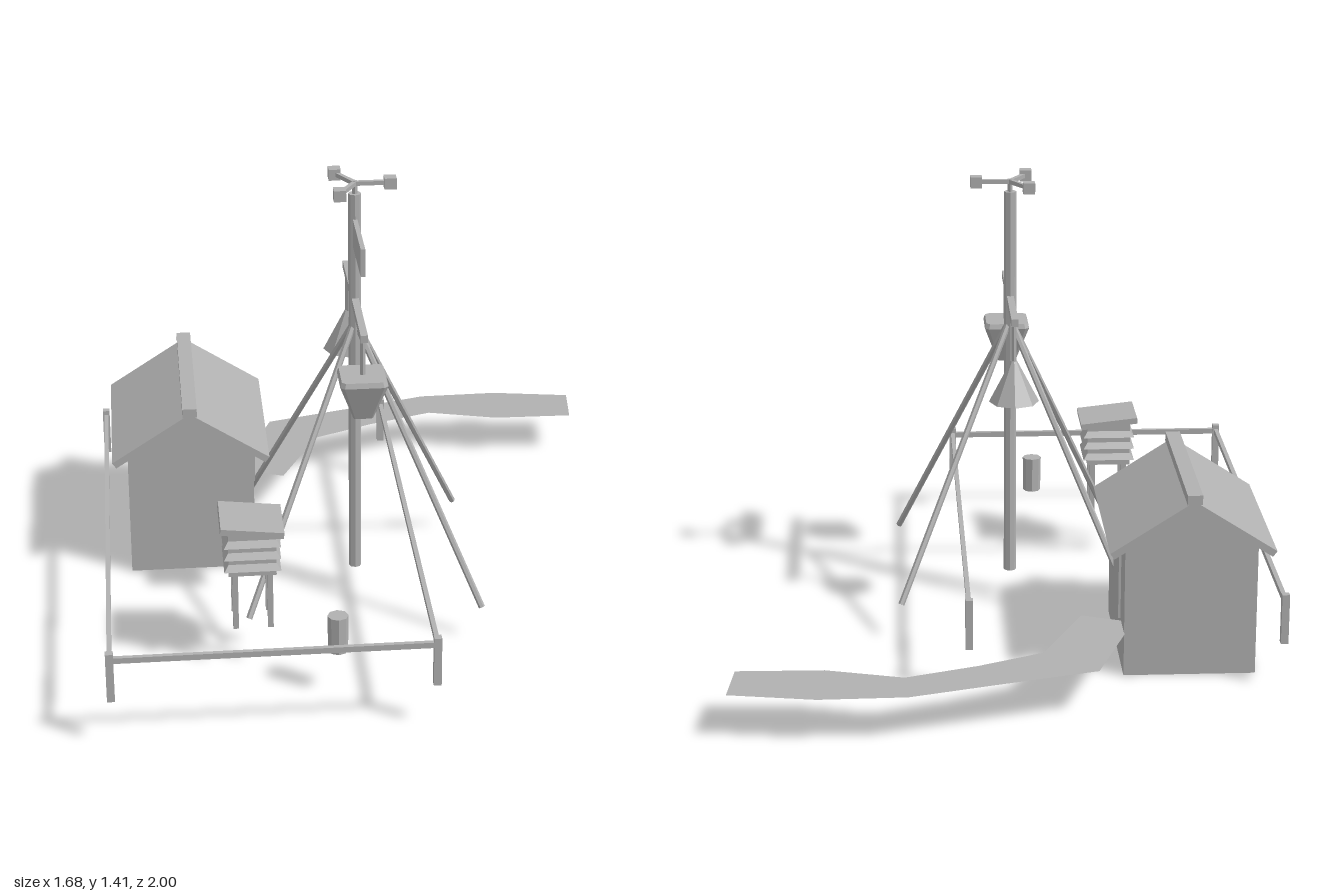
import * as THREE from 'three';

export function createModel() {
  const model = new THREE.Group();
  const grey = new THREE.MeshStandardMaterial({ color: 0xb0b0b0, flatShading: true, side: THREE.DoubleSide });
  grey.name = 'plain grey';

  function add(name, geometry, x = 0, y = 0, z = 0, parent = model) {
    const mesh = new THREE.Mesh(geometry, grey);
    mesh.name = name;
    mesh.position.set(x, y, z);
    parent.add(mesh);
    return mesh;
  }
  function group(name, x = 0, y = 0, z = 0) {
    const g = new THREE.Group();
    g.name = name;
    g.position.set(x, y, z);
    model.add(g);
    return g;
  }
  const box = (w, h, d) => new THREE.BoxGeometry(w, h, d);
  const poly = (points) => new THREE.Shape(points.map(([x, y]) => new THREE.Vector2(x, y)));
  const prism = (points, depth) => new THREE.ExtrudeGeometry(poly(points), { depth, bevelEnabled: false });

  // Square frustum with flat sides facing the axes
  const frustum = (top, bottom, h) =>
    new THREE.CylinderGeometry(top * Math.SQRT2, bottom * Math.SQRT2, h, 4).rotateY(Math.PI / 4);

  // Round bar between two points
  function bar(name, a, b, radius, parent) {
    const from = new THREE.Vector3(...a), dir = new THREE.Vector3(...b).sub(from);
    const mesh = add(name, new THREE.CylinderGeometry(radius, radius, dir.length(), 6), 0, 0, 0, parent);
    mesh.position.copy(from).addScaledVector(dir, 0.5);
    mesh.quaternion.setFromUnitVectors(new THREE.Vector3(0, 1, 0), dir.normalize());
  }

  // Hut: gabled body, folded roof, ridge cap, window and door on its left wall
  const hut = group('hut', -0.557, 0, 0);
  add('hutBody', prism([[-0.203, 0], [0.203, 0], [0.203, 0.424], [0, 0.555], [-0.203, 0.424]], 0.518), 0, 0, -0.555, hut);
  add('hutRoof', prism([[0, 0.58], [-0.253, 0.417], [-0.24, 0.399], [0, 0.553], [0.24, 0.399], [0.253, 0.417]], 0.605), 0, 0, -0.601, hut);
  add('ridgeCap', box(0.046, 0.03, 0.613), 0, 0.585, -0.298, hut);
  add('window', box(0.009, 0.098, 0.11), 0.206, 0.328, -0.155, hut);
  add('door', box(0.009, 0.217, 0.128), 0.206, 0.249, -0.372, hut);

  // Mast with four stays, a cross arm and a wind vane
  const mast = group('mast', -0.04, 0, 0.141);
  add('mastPole', new THREE.CylinderGeometry(0.02, 0.02, 1.28, 8), 0, 0.725, 0, mast);
  for (const sx of [-1, 1]) for (const sz of [-1, 1]) {
    bar('stay', [0, 0.945, 0], [sx * 0.363, 0.112, sz * 0.363], 0.01, mast);
  }
  add('crossArm', box(0.022, 0.024, 0.6), 0, 1.014, 0.005, mast);
  add('vane', box(0.014, 0.088, 0.245), 0, 1.242, 0.14, mast);

  // Three-armed wind spinner
  add('spindle', new THREE.CylinderGeometry(0.009, 0.009, 0.05, 6), 0, 1.38, 0, mast);
  for (let i = 0; i < 3; i++) {
    const a = (i * Math.PI * 2) / 3, x = Math.cos(a) * 0.108, z = Math.sin(a) * 0.108;
    const arm = add('spinnerArm', box(0.108, 0.013, 0.013), x / 2, 1.397, z / 2, mast);
    arm.rotation.y = -a;
    add('spinnerCup', box(0.037, 0.035, 0.037), x, 1.397, z, mast);
  }

  // Hanging bucket with chamfered corners
  bar('bucketRod', [0, 1.005, 0.25], [0, 0.86, 0.25], 0.009, mast);
  const bucketLevels = [[0.03, 0.74], [0.073, 0.86], [0.068, 0.876]];
  const positions = [], index = [];
  for (const [r, y] of bucketLevels) {
    const c = r * 0.82;
    for (const [x, z] of [[r, c], [c, r], [-c, r], [-r, c], [-r, -c], [-c, -r], [c, -r], [r, -c]]) positions.push(x, y, z);
  }
  for (let k = 0; k < 2; k++) for (let i = 0; i < 8; i++) {
    const a = k * 8 + i, b = k * 8 + (i + 1) % 8;
    index.push(a, a + 8, b, b, a + 8, b + 8);
  }
  for (let i = 1; i < 7; i++) index.push(0, i, i + 1, 16, 16 + i + 1, 16 + i);
  const bucket = new THREE.BufferGeometry();
  bucket.setAttribute('position', new THREE.Float32BufferAttribute(positions, 3));
  bucket.setIndex(index);
  bucket.computeVertexNormals();
  add('bucket', bucket, 0, 0, 0.25, mast);

  // Hanging cone
  bar('coneRod', [0, 1.005, -0.243], [0, 0.86, -0.243], 0.009, mast);
  add('cone', new THREE.CylinderGeometry(0.01, 0.079, 0.132, 8), 0, 0.811, -0.243, mast);

  // Louvred instrument box on four legs
  const screen = group('instrumentBox', -0.395, 0, 0.55);
  add('boxCore', box(0.145, 0.145, 0.145), 0, 0.4, 0, screen);
  for (const y of [0.36, 0.4, 0.44]) add('louvre', frustum(0.07, 0.086, 0.024), 0, y, 0, screen);
  const lid = add('boxLid', box(0.192, 0.02, 0.188), 0, 0.48, 0, screen);
  lid.rotation.z = -0.11;
  for (const sx of [-1, 1]) for (const sz of [-1, 1]) {
    add('boxLeg', box(0.017, 0.19, 0.017), sx * 0.053, 0.235, sz * 0.053, screen);
  }

  // Rain gauge
  add('rainGauge', new THREE.CylinderGeometry(0.032, 0.03, 0.12, 8), -0.15, 0.2, 0.767);

  // Fence: four corner posts, rails on three sides
  const fence = group('fence');
  const left = 0.123, right = -0.831, front = 0.986, back = -0.652;
  for (const x of [left, right]) {
    for (const z of [front, back]) add('fencePost', box(0.023, 0.158, 0.023), x, 0.22, z, fence);
    add('sideRail', box(0.014, 0.018, front - back), x, 0.275, (front + back) / 2, fence);
  }
  add('frontRail', box(left - right, 0.018, 0.014), (left + right) / 2, 0.275, front, fence);

  // Flat winding path from the door
  const pathOutline = [
    [-0.235, -0.405], [-0.1, -0.69], [0.1, -0.78], [0.32, -0.855], [0.555, -0.79], [0.82, -0.785],
    [0.837, -0.955], [0.575, -1.0], [0.31, -0.995], [0.05, -0.92], [-0.255, -0.835], [-0.39, -0.467],
  ].map(([x, z]) => [x, -z]);
  add('path', new THREE.ShapeGeometry(poly(pathOutline)).rotateX(-Math.PI / 2), 0, 0.139, 0);

  return model;
}
